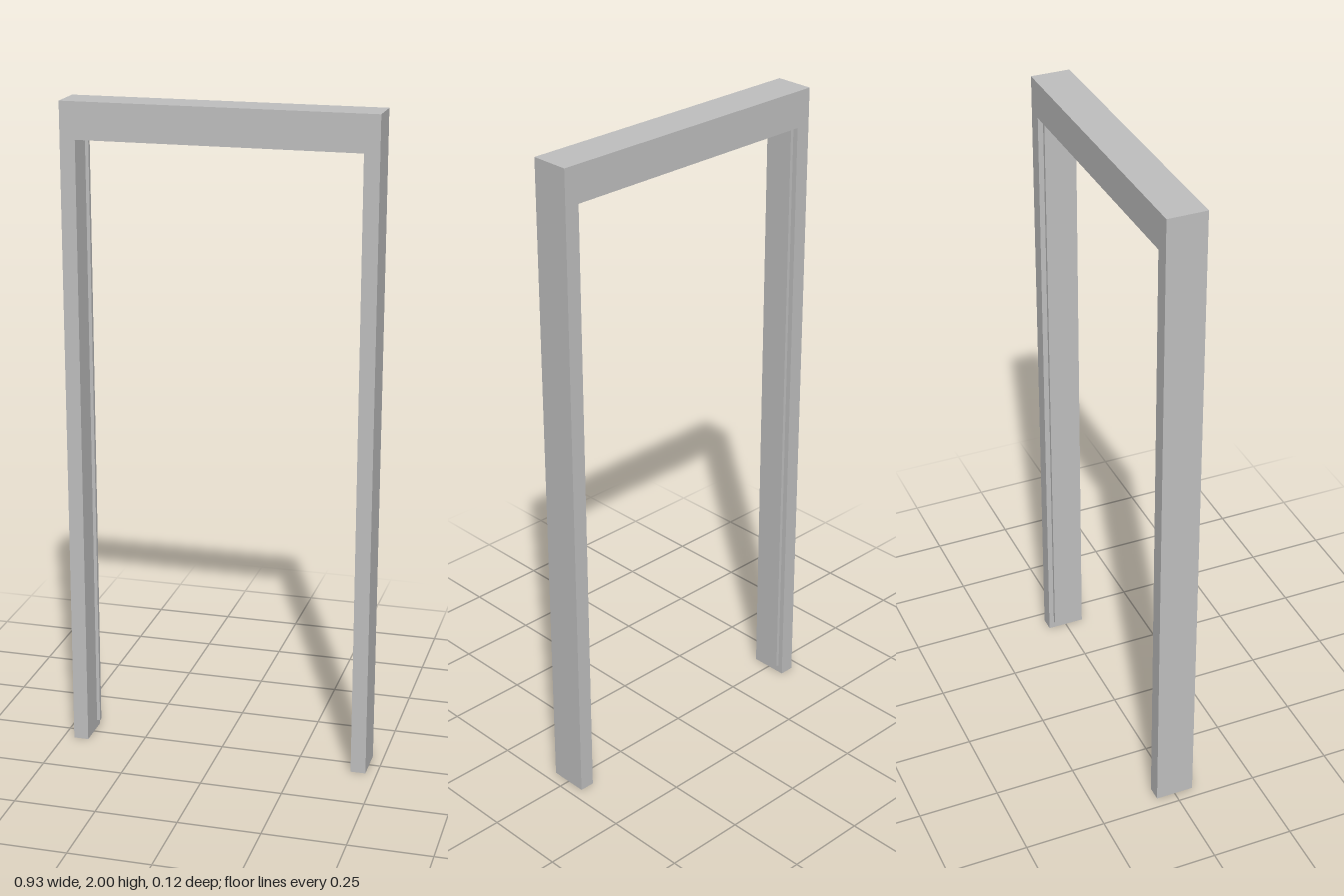
import * as THREE from 'three';

export function createModel() {
  const model = new THREE.Group();
  model.name = 'doorFrame';
  const paint = new THREE.MeshStandardMaterial({ color: 0xbfbfbf });
  paint.name = 'light grey';

  // Box given by its lower and upper limits on each axis
  function addBox(name, [x0, x1], [y0, y1], [z0, z1]) {
    const mesh = new THREE.Mesh(new THREE.BoxGeometry(x1 - x0, y1 - y0, z1 - z0), paint);
    mesh.position.set((x0 + x1) / 2, (y0 + y1) / 2, (z0 + z1) / 2);
    mesh.name = name;
    model.add(mesh);
  }

  const halfWidth = 0.466, jambInner = 0.42, headBottom = 1.89;
  const depth = [-0.059, 0.059], stopDepth = [-0.043, -0.03];

  // Header beam with a slim stop strip beneath it
  addBox('header', [-halfWidth, halfWidth], [headBottom, 2], depth);
  addBox('headerStop', [-jambInner, jambInner], [headBottom - 0.003, headBottom], stopDepth);

  // Jambs with stop strips that end just above the floor
  for (const [side, s] of [['left', 1], ['right', -1]]) {
    const span = (a, b) => (s > 0 ? [a, b] : [-b, -a]);
    addBox(side + 'Jamb', span(jambInner, halfWidth), [0, headBottom], depth);
    addBox(side + 'Stop', span(jambInner - 0.01, jambInner), [0.025, headBottom], stopDepth);
  }
  return model;
}
